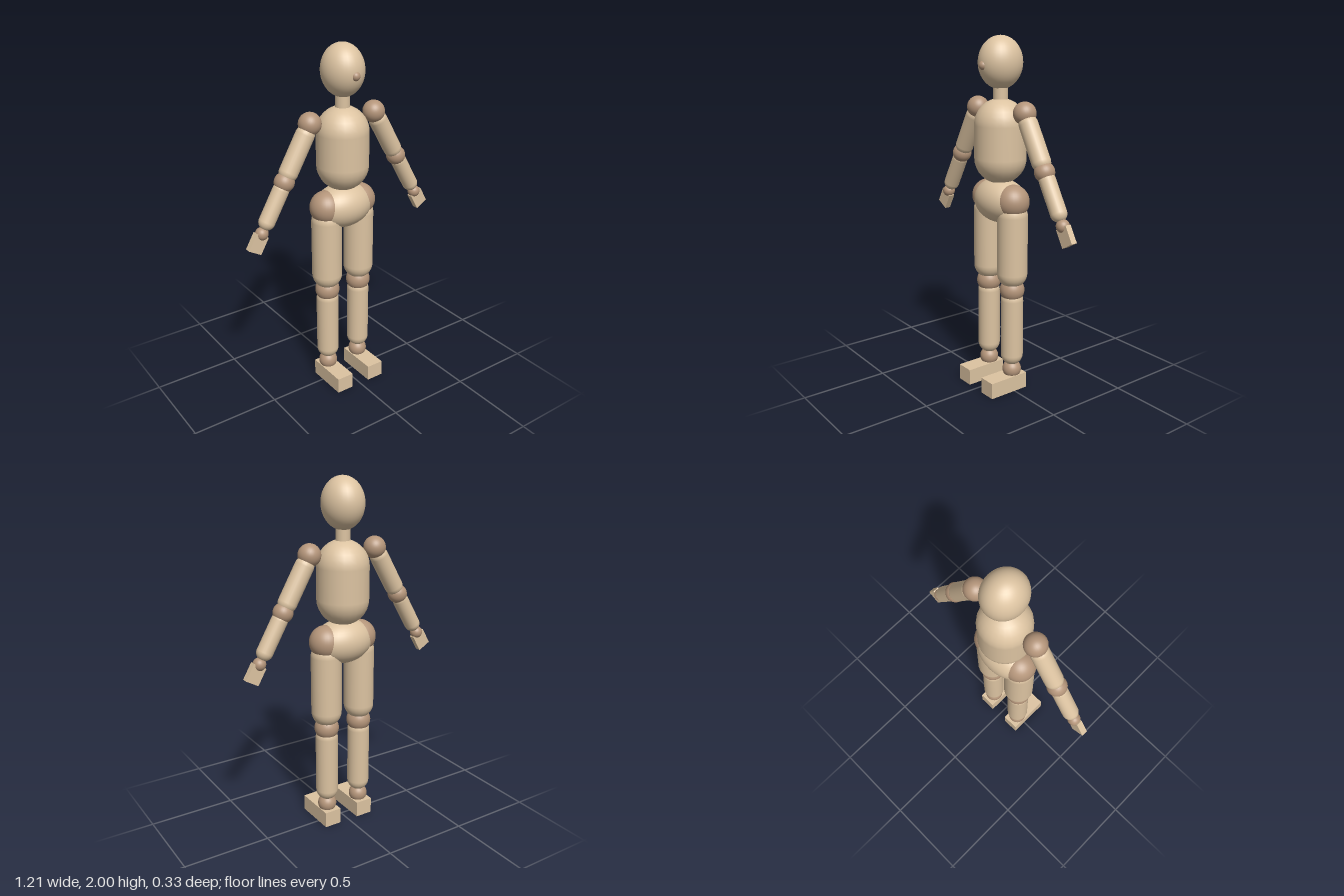
import * as THREE from 'three';

const wood = new THREE.MeshStandardMaterial({ color: 0xdcc3a1 });
const jointWood = new THREE.MeshStandardMaterial({ color: 0xb4957a });
const Z = -0.018; // depth of the body axis

export function createModel() {
  const model = new THREE.Group();
  model.name = 'jointedMannequin';

  const add = (parent, name, geometry, material, x, y, z = Z) => {
    const mesh = new THREE.Mesh(geometry, material);
    mesh.name = name;
    mesh.position.set(x, y, z);
    parent.add(mesh);
    return mesh;
  };
  const ball = (parent, name, r, x, y, z, material = jointWood) =>
    add(parent, name, new THREE.SphereGeometry(r, 32, 24), material, x, y, z);
  // Capsule whose tips lie at bottom and top
  const capsule = (parent, name, r, bottom, top, x, z) =>
    add(parent, name, new THREE.CapsuleGeometry(r, top - bottom - 2 * r, 8, 24), wood, x, (top + bottom) / 2, z);

  // Head, neck and trunk
  ball(model, 'head', 1, 0, 1.858, Z, wood).scale.set(0.114, 0.142, 0.126);
  ball(model, 'nose', 0.025, 0, 1.845, 0.096);
  add(model, 'neck', new THREE.CylinderGeometry(0.04, 0.04, 0.12, 24), wood, 0, 1.69);
  capsule(model, 'torso', 0.145, 1.2, 1.67, 0);
  ball(model, 'pelvis', 1, 0, 1.105, Z, wood).scale.set(0.18, 0.125, 0.126);

  for (const side of [1, -1]) {
    const label = side > 0 ? 'left' : 'right';

    // Leg
    const leg = new THREE.Group();
    leg.name = label + 'Leg';
    leg.position.x = 0.109 * side;
    model.add(leg);
    ball(leg, 'hipJoint', 0.094, 0, 1.115);
    capsule(leg, 'thigh', 0.086, 0.62, 1.12, 0);
    ball(leg, 'kneeJoint', 0.07, 0, 0.605);
    capsule(leg, 'shin', 0.064, 0.15, 0.608, 0);
    ball(leg, 'ankleJoint', 0.054, 0, 0.12);
    add(leg, 'foot', new THREE.BoxGeometry(0.102, 0.093, 0.248), wood, 0, 0.0465, 0.039);

    // Arm, built hanging straight down from the shoulder, then swung outward
    const arm = new THREE.Group();
    arm.name = label + 'Arm';
    arm.position.set(0.207 * side, 1.605, Z);
    arm.rotation.z = side * Math.PI / 6;
    model.add(arm);
    ball(arm, 'shoulderJoint', 0.062, 0, 0, 0);
    capsule(arm, 'upperArm', 0.052, -0.325, -0.01, 0, 0);
    ball(arm, 'elbowJoint', 0.055, 0, -0.328, 0);
    capsule(arm, 'forearm', 0.045, -0.6, -0.328, 0, 0);
    ball(arm, 'wristJoint', 0.036, 0, -0.622, 0);
    add(arm, 'hand', new THREE.BoxGeometry(0.08, 0.1, 0.035), wood, 0, -0.679, 0);
  }
  return model;
}
